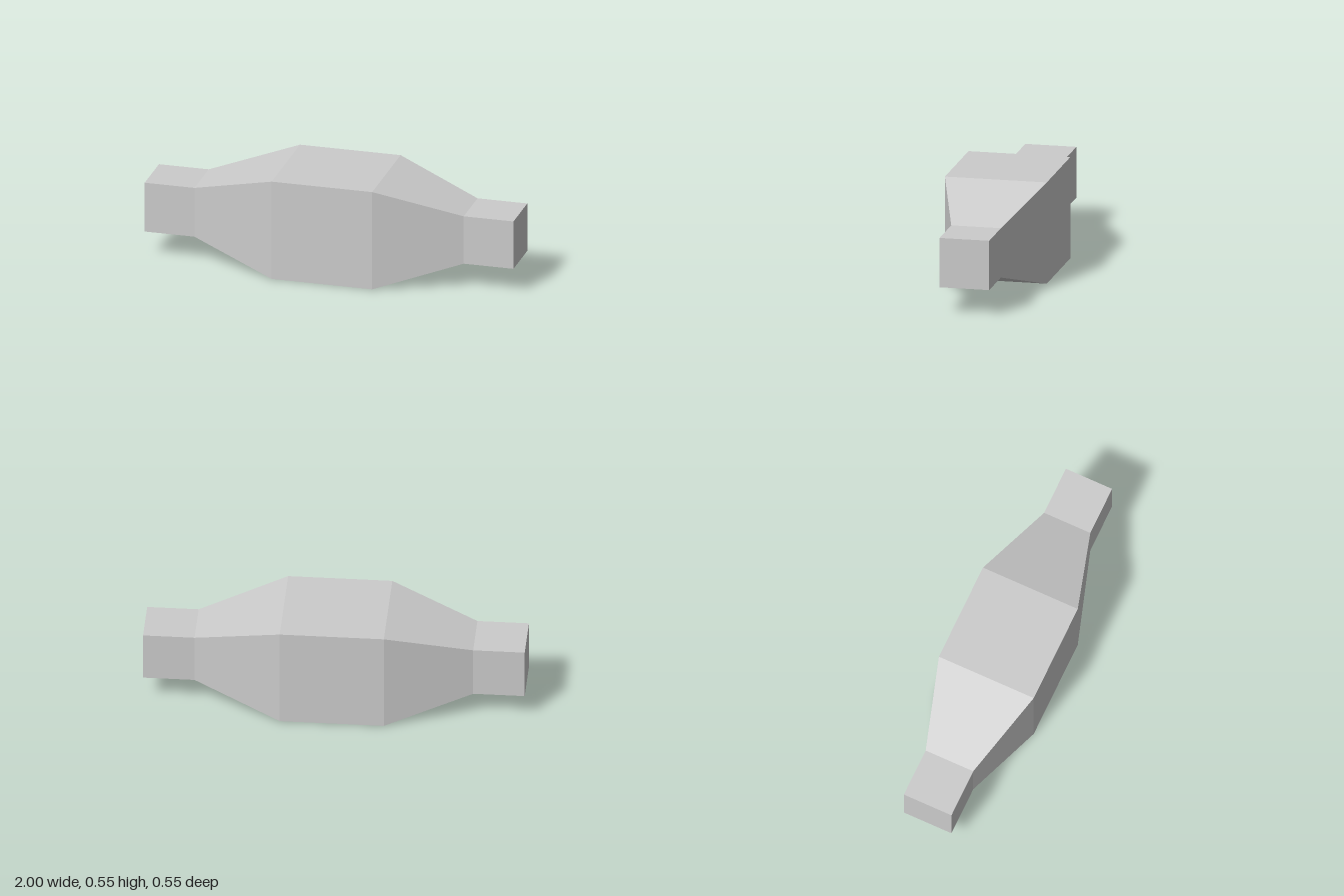
import * as THREE from 'three';

export function createModel() {
  const group = new THREE.Group();
  const grey = new THREE.MeshStandardMaterial({ color: 0xcccccc, flatShading: true });
  grey.name = 'light grey';
  const centreY = 0.273;

  // Square-section body: [position along x, half width], closed at both ends
  const sections = [
    [-1, 0], [-1, 0.137], [-0.73, 0.137], [-0.273, 0.273],
    [0.273, 0.273], [0.73, 0.133], [1, 0.133], [1, 0],
  ];
  const profile = sections.map(([x, half]) => new THREE.Vector2(half * Math.SQRT2, x));
  const bodyGeometry = new THREE.LatheGeometry(profile, 4, Math.PI / 4).toNonIndexed();
  bodyGeometry.rotateZ(-Math.PI / 2);
  bodyGeometry.computeVertexNormals();
  const body = new THREE.Mesh(bodyGeometry, grey);
  body.name = 'taperedBody';
  body.position.y = centreY;
  group.add(body);

  // Tiny stud on the sloping underside
  const stud = new THREE.Mesh(new THREE.SphereGeometry(0.013, 16, 8), grey);
  stud.name = 'undersideStud';
  stud.scale.y = 0.35;
  stud.position.set(0.4, 0.038, 0.095);
  group.add(stud);

  return group;
}
